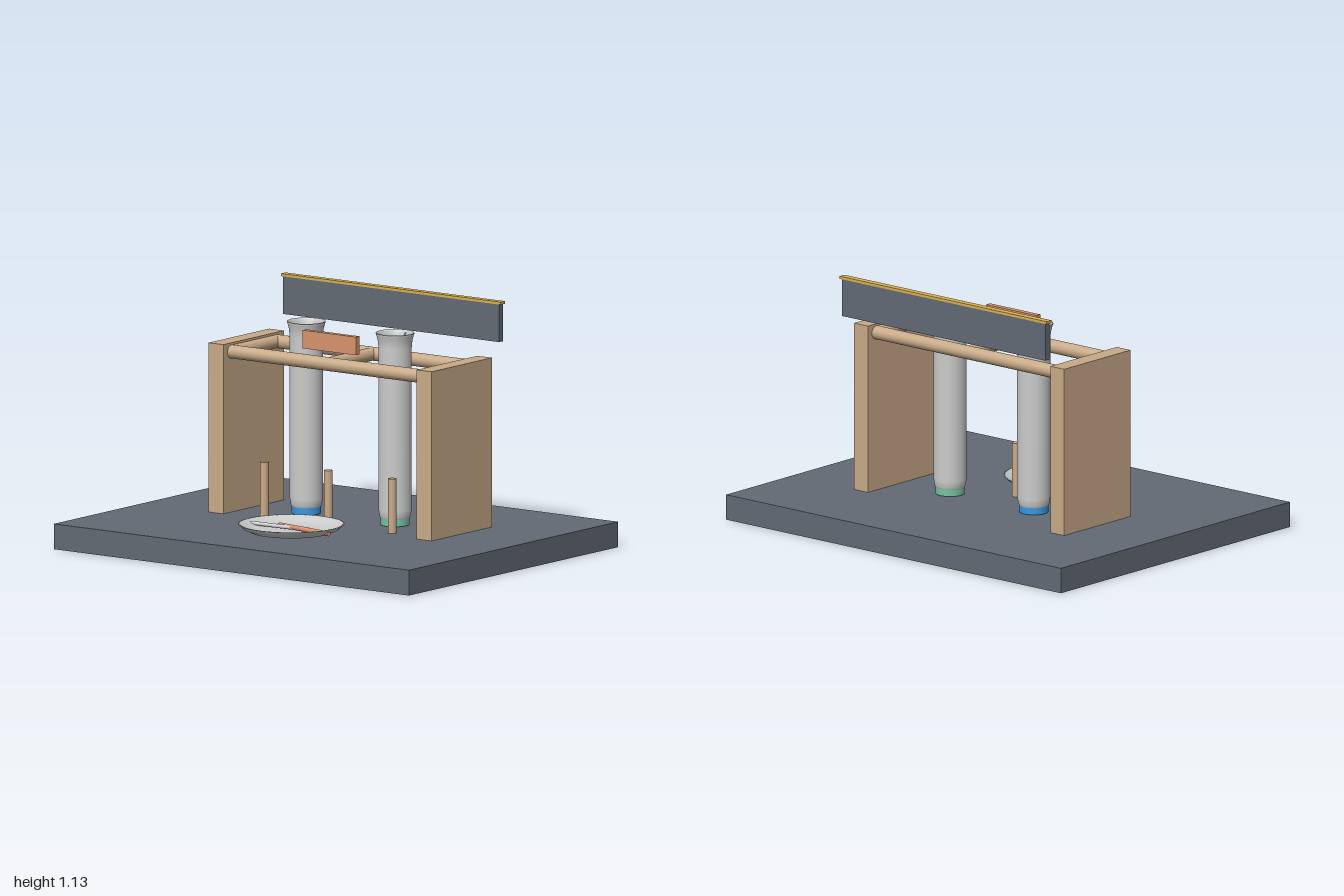
import * as THREE from 'three';

const paint = (color, side = THREE.FrontSide) => new THREE.MeshStandardMaterial({ color, side });
const slate = paint(0x626a74), wood = paint(0xc8aa88), copper = paint(0xd8946e), gold = paint(0xd8b050);
const grey = paint(0xcccccc), greyThin = paint(0xcccccc, THREE.DoubleSide);

export function createModel() {
  const model = new THREE.Group();
  const add = (name, geometry, material, x = 0, y = 0, z = 0) => {
    const mesh = new THREE.Mesh(geometry, material);
    mesh.name = name;
    mesh.position.set(x, y, z);
    model.add(mesh);
    return mesh;
  };
  // box given by its lower and upper corners
  const box = (name, material, [x0, y0, z0], [x1, y1, z1]) =>
    add(name, new THREE.BoxGeometry(x1 - x0, y1 - y0, z1 - z0), material,
      (x0 + x1) / 2, (y0 + y1) / 2, (z0 + z1) / 2);
  // round rod between two points
  const rod = (name, material, radius, from, to) => {
    const a = new THREE.Vector3(...from), b = new THREE.Vector3(...to);
    const dir = b.clone().sub(a);
    const mesh = add(name, new THREE.CylinderGeometry(radius, radius, dir.length(), 24), material);
    mesh.position.copy(a).add(b).multiplyScalar(0.5);
    mesh.quaternion.setFromUnitVectors(new THREE.Vector3(0, 1, 0), dir.normalize());
    return mesh;
  };
  const lathe = (points, segments) =>
    new THREE.LatheGeometry(points.map(([r, y]) => new THREE.Vector2(r, y)), segments);

  // slab with a wooden panel let into its underside
  box('baseSlab', slate, [-1, 0, -0.785], [1, 0.116, 0.785]);
  box('undersidePanel', wood, [-0.63, -0.0005, -0.345], [0.63, 0.03, 0.135]);

  // rack: two end panels, long rails and cross rails
  for (const s of [-1, 1]) {
    const panel = box('endPanel', wood, [-0.0415, 0.116, -0.335], [0.0415, 0.89, 0.12]);
    panel.position.x = s * 0.586;
  }
  const railY = 0.85, frontZ = 0.058, backZ = -0.277;
  for (const z of [frontZ, backZ]) rod('longRail', wood, 0.031, [-0.6, railY, z], [0.6, railY, z]);
  for (const x of [-0.54, 0, 0.54]) rod('crossRail', wood, 0.03, [x, railY, backZ], [x, railY, frontZ]);

  // short pegs standing below the front rail
  for (const x of [-0.36, 0, 0.36]) rod('peg', wood, 0.02, [x, 0.116, frontZ], [x, 0.365, frontZ]);

  // flared tubes, open at both ends, over coloured discs
  const tubeProfile = [
    [0.064, 0.148], [0.07, 0.158], [0.075, 0.19], [0.075, 0.93], [0.078, 0.96], [0.084, 0.985],
    [0.088, 0.995], [0.085, 0.998], [0.079, 0.985], [0.072, 0.955], [0.07, 0.92], [0.07, 0.19], [0.064, 0.148],
  ];
  const tubeZ = -0.11;
  [[-0.25, 0x3498e4], [0.25, 0x72c4a0]].forEach(([x, color]) => {
    add('tube', lathe(tubeProfile, 40), greyThin, x, 0, tubeZ);
    add('tubeDisc', new THREE.CylinderGeometry(0.066, 0.066, 0.034, 32), paint(color), x, 0.137, tubeZ);
  });

  // pellet in one tube, with a cord hung over the back of the rim
  add('pellet', new THREE.CylinderGeometry(0.034, 0.034, 0.03, 24), grey, 0.25, 0.165, tubeZ);
  const cord = new THREE.CatmullRomCurve3([
    [0, 0.18, 0], [0, 0.5, -0.02], [0, 0.94, -0.062], [0, 0.993, -0.083],
    [0, 0.985, -0.092], [0, 0.925, -0.098],
  ].map((p) => new THREE.Vector3(...p)));
  add('cord', new THREE.TubeGeometry(cord, 40, 0.003, 8), grey, 0.25, 0, tubeZ);

  // shallow dish with two crossed sticks
  add('dish', lathe([
    [0, 0.118], [0.15, 0.118], [0.185, 0.124], [0.215, 0.138], [0.24, 0.16],
    [0.232, 0.16], [0.205, 0.142], [0.175, 0.131], [0.14, 0.126], [0, 0.124],
  ], 40), greyThin, 0, 0, 0.335);
  rod('paleStick', grey, 0.009, [-0.22, 0.143, 0.352], [0.085, 0.136, 0.307]);
  rod('copperStick', copper, 0.011, [-0.09, 0.141, 0.307], [0.225, 0.139, 0.355]);

  // copper plaque above the front rail
  box('plaque', copper, [-0.15, 0.905, 0.022], [0.15, 0.988, 0.05]);

  // raised beam behind the rack with a gilt cap
  box('beam', slate, [-0.61, 0.948, -0.443], [0.607, 1.12, -0.415]);
  box('beamCap', gold, [-0.62, 1.12, -0.447], [0.617, 1.132, -0.413]);

  return model;
}
